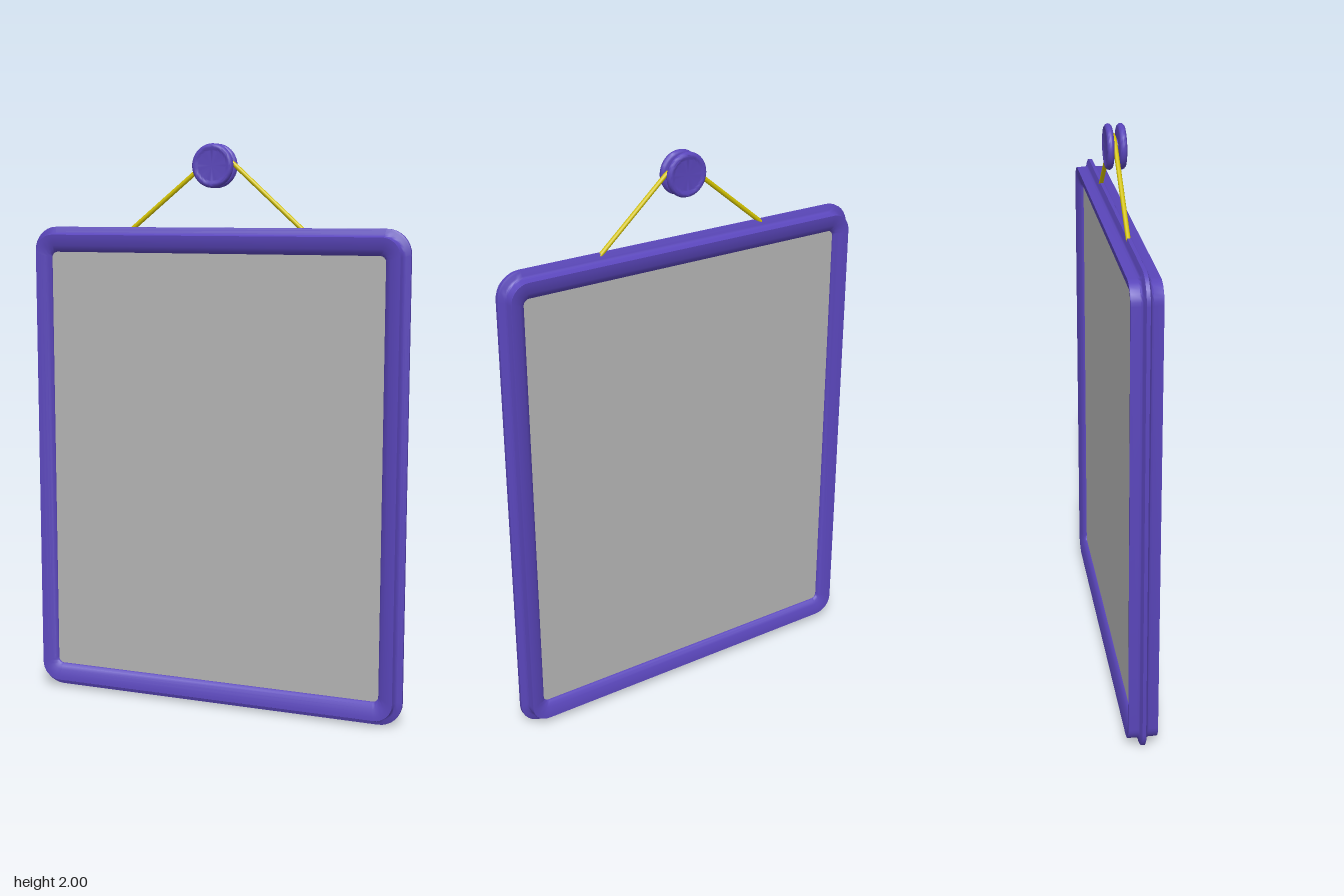
import * as THREE from 'three';
import { toCreasedNormals } from 'three/addons/utils/BufferGeometryUtils.js';

const CENTER_Y = 0.857;

// Points of a rounded rectangle, counter-clockwise seen from the front
function roundedLoop(hx, hy, r, steps = 8) {
  const pts = [];
  const corners = [[1, 1], [-1, 1], [-1, -1], [1, -1]];
  corners.forEach(([sx, sy], q) => {
    for (let k = 0; k <= steps; k++) {
      const a = (q + k / steps) * Math.PI / 2;
      pts.push([sx * (hx - r) + r * Math.cos(a), sy * (hy - r) + r * Math.sin(a)]);
    }
  });
  return pts;
}

// Sweep a closed [offset, z] profile around the rounded rectangle
function frameGeometry(profile) {
  const loops = profile.map(([d, z]) =>
    roundedLoop(0.619 + d * 0.079, 0.768 + d * 0.089, 0.02 + d * 0.065).map(([x, y]) => [x, y, z]));
  const n = loops[0].length, m = loops.length, pos = [];
  for (let j = 0; j < m; j++) {
    const p = loops[j], q = loops[(j + 1) % m];
    for (let i = 0; i < n; i++) {
      const k = (i + 1) % n;
      pos.push(...p[i], ...q[i], ...p[k], ...q[i], ...q[k], ...p[k]);
    }
  }
  const geo = new THREE.BufferGeometry();
  geo.setAttribute('position', new THREE.Float32BufferAttribute(pos, 3));
  return toCreasedNormals(geo, 0.9);
}

export function createModel() {
  const group = new THREE.Group();
  const material = (name, color) => {
    const m = new THREE.MeshStandardMaterial({ color });
    m.name = name;
    return m;
  };
  const purple = material('purple', 0x5a46bb);
  const gray = material('mirrorGray', 0xb3b3b3);
  const yellow = material('cordYellow', 0xd2c200);
  const add = (name, geo, mat) => {
    const mesh = new THREE.Mesh(geo, mat);
    mesh.name = name;
    group.add(mesh);
    return mesh;
  };

  // Frame: rounded inner lip, flat face, outer wall and a thin tapering rim
  const half = [[0, 0.028], [0.03, 0.033], [0.12, 0.038], [0.25, 0.043], [0.4, 0.047], [0.55, 0.05],
    [0.69, 0.051], [0.7, 0.049], [0.7, 0.02], [0.73, 0.015], [0.8, 0.012], [0.93, 0.009], [1, 0.006]];
  const back = half.map(([d, z]) => [d, -z]).reverse();
  add('frame', frameGeometry([...half, ...back]), purple).position.y = CENTER_Y;

  // Mirror pane, filling the opening close to both faces of the frame
  const [first, ...rest] = roundedLoop(0.622, 0.771, 0.02);
  const pane = new THREE.Shape();
  pane.moveTo(...first);
  rest.forEach((p) => pane.lineTo(...p));
  const paneGeo = new THREE.ExtrudeGeometry(pane, { depth: 0.054, bevelEnabled: false });
  add('mirror', paneGeo, gray).position.set(0, CENTER_Y, -0.027);

  // Spool-shaped wall knob: two dished discs joined by a core
  const flange = [[0.025, 0.009], [0.064, 0.009], [0.07, 0.011], [0.0745, 0.016], [0.0755, 0.021],
    [0.0735, 0.027], [0.068, 0.032], [0.062, 0.033], [0.057, 0.03], [0.053, 0.029], [0.05, 0.029], [0, 0.029]]
    .map(([r, z]) => new THREE.Vector2(r, z));
  const lower = flange.map((v) => new THREE.Vector2(v.x, -v.y)).reverse();
  const knobGeo = toCreasedNormals(new THREE.LatheGeometry([...lower, ...flange], 40), 0.8);
  knobGeo.rotateX(Math.PI / 2);
  add('knob', knobGeo, purple).position.y = 1.925;

  // Hanging cord running over the knob core
  const path = new THREE.CurvePath();
  const cord = [[-0.328, 1.697], [-0.07, 1.905], [-0.022, 1.943], [0, 1.954], [0.028, 1.956],
    [0.07, 1.93], [0.334, 1.695]].map(([x, y]) => new THREE.Vector3(x, y, -0.002));
  for (let i = 1; i < cord.length; i++) path.add(new THREE.LineCurve3(cord[i - 1], cord[i]));
  add('cord', new THREE.TubeGeometry(path, 80, 0.008, 10), yellow);

  return group;
}
